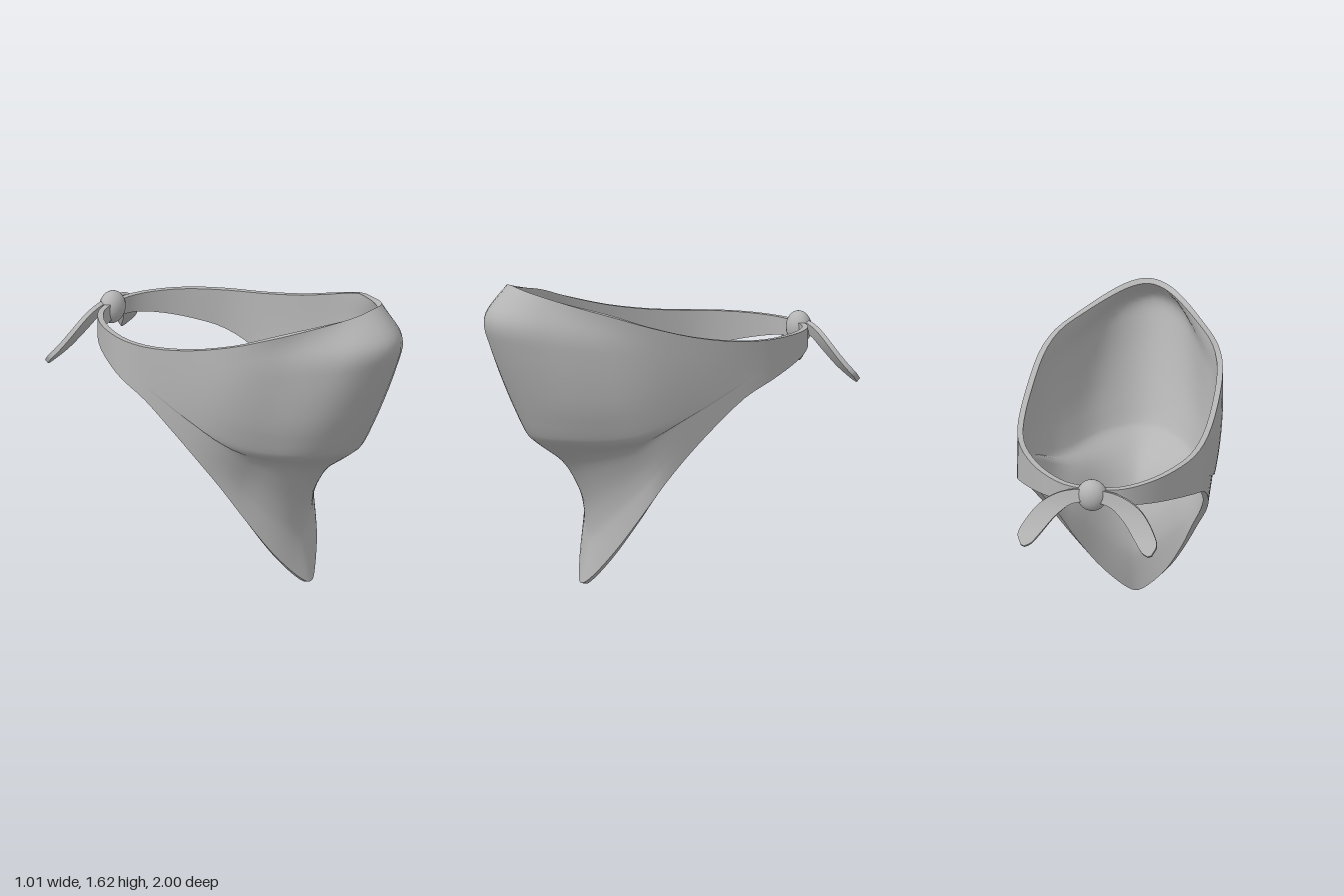
import * as THREE from 'three';
import { mergeGeometries } from 'three/addons/utils/BufferGeometryUtils.js';

const { lerp, smoothstep } = THREE.MathUtils;
const spline = (pts) => new THREE.CatmullRomCurve3(pts.map(([x, y, z = 0]) => new THREE.Vector3(x, y, z)), false, 'catmullrom', 0.5);

// Cloth sheet with thickness: point(u, v) gives the outer face, u to the right and v downwards
function sheet(point, nu, nv, thickness) {
  const pos = [], idx = [], id = (i, j) => i * (nv + 1) + j;
  for (let i = 0; i <= nu; i++) for (let j = 0; j <= nv; j++) pos.push(...point(i / nu, j / nv).toArray());
  for (let i = 0; i < nu; i++) for (let j = 0; j < nv; j++) {
    const a = id(i, j), b = id(i, j + 1), c = id(i + 1, j), d = id(i + 1, j + 1);
    idx.push(a, b, c, c, b, d);
  }
  const outer = new THREE.BufferGeometry();
  outer.setAttribute('position', new THREE.Float32BufferAttribute(pos, 3));
  outer.setIndex(idx);
  outer.computeVertexNormals();

  // inner face, offset along the normals and turned round
  const inner = outer.clone(), P = inner.attributes.position, N = inner.attributes.normal;
  for (let k = 0; k < P.count; k++) {
    P.setXYZ(k, P.getX(k) - N.getX(k) * thickness, P.getY(k) - N.getY(k) * thickness, P.getZ(k) - N.getZ(k) * thickness);
    N.setXYZ(k, -N.getX(k), -N.getY(k), -N.getZ(k));
  }
  inner.setIndex(idx.slice().reverse());

  // rim around the whole border
  const loop = [];
  for (let j = 0; j < nv; j++) loop.push(id(0, j));
  for (let i = 0; i < nu; i++) loop.push(id(i, nv));
  for (let j = nv; j > 0; j--) loop.push(id(nu, j));
  for (let i = nu; i > 0; i--) loop.push(id(i, 0));
  const rimPos = [], at = (g, k) => new THREE.Vector3().fromBufferAttribute(g.attributes.position, k).toArray();
  loop.forEach((p, k) => {
    const q = loop[(k + 1) % loop.length];
    rimPos.push(...at(outer, q), ...at(outer, p), ...at(inner, p), ...at(outer, q), ...at(inner, p), ...at(inner, q));
  });
  const rim = new THREE.BufferGeometry();
  rim.setAttribute('position', new THREE.Float32BufferAttribute(rimPos, 3));
  rim.computeVertexNormals();
  return mergeGeometries([outer.toNonIndexed(), inner.toNonIndexed(), rim]);
}

// Cloth edges from front centre to back: top x,y,z, bottom x,y,z
const EDGES = [
  [0, 1.61, 0.86, 0, 0, 0.455],
  [0.1, 1.595, 0.835, 0.08, 0.05, 0.425],
  [0.2, 1.565, 0.755, 0.2, 0.2, 0.35],
  [0.32, 1.52, 0.62, 0.3, 0.39, 0.25],
  [0.43, 1.475, 0.47, 0.38, 0.57, 0.15],
  [0.487, 1.42, 0.3, 0.445, 0.72, 0.05],
  [0.505, 1.35, 0.05, 0.48, 0.86, -0.08],
  [0.5, 1.305, -0.2, 0.49, 1.0, -0.25],
  [0.465, 1.29, -0.4, 0.465, 1.075, -0.42],
  [0.385, 1.285, -0.57, 0.385, 1.12, -0.57],
  [0.28, 1.28, -0.7, 0.28, 1.155, -0.7],
  [0.15, 1.275, -0.79, 0.15, 1.18, -0.79],
  [0, 1.275, -0.82, 0, 1.19, -0.82],
];
// Share of the bulge each column takes, near the top and near the fold
const FULLNESS = [[0.98, 1], [0.72, 0.97], [0.35, 0.88], [0.14, 0.62], [0.05, 0.4], [0.02, 0.2], [0, 0.07], [0, 0],
  [0, 0], [0, 0], [0, 0], [0, 0], [0, 0]];
// Front centre profile: fraction down, offset from the straight line
const PROFILE = spline([[0, 0], [0.05, 0.1], [0.095, 0.17], [0.14, 0.195], [0.2, 0.187], [0.3, 0.163], [0.44, 0.12],
  [0.5, 0.099], [0.53, 0.078], [0.565, 0.019], [0.61, -0.063], [0.67, -0.11], [0.75, -0.136], [0.83, -0.123],
  [0.89, -0.088], [1, 0]]);

function clothPoint() {
  const mirrored = (rows, flip) => spline([...rows.slice(1).reverse().map(([x, y, z]) => [flip * x, y, z]), ...rows]);
  const top = mirrored(EDGES.map((r) => r.slice(0, 3)), -1);
  const bottom = mirrored(EDGES.map((r) => r.slice(3)), -1);
  const fullness = mirrored(FULLNESS, 1);
  const FOLD = 0.54;
  return (u, v) => {
    const T = top.getPoint(u), B = bottom.getPoint(u), F = fullness.getPoint(u);
    const { x: s, y: offset } = PROFILE.getPoint(v);
    // fold height, rising gently where the lower edge comes up to it
    const raised = lerp(B.y, T.y, 0.25);
    const foldY = (0.76 + raised + Math.hypot(0.76 - raised, 0.1)) / 2;
    const y = s < FOLD ? lerp(T.y, foldY, s / FOLD) : lerp(foldY, B.y, (s - FOLD) / (1 - FOLD));
    const k = (T.y - y) / (T.y - B.y);
    const hollow = Math.max(0, (0.76 - B.y) / 0.76);
    const folded = offset > 0 ? offset * lerp(F.x, F.y, Math.min(1, s / 0.4)) : offset * hollow;
    const plain = 0.15 * Math.sin(Math.PI * k) * F.y;
    const tangent = top.getTangent(u);
    const out = new THREE.Vector3(-tangent.z, 0, tangent.x).normalize();
    if (offset < 0) out.x *= 0.4;
    return T.clone().lerp(B, k).addScaledVector(out, lerp(plain, folded, smoothstep(hollow, 0, 0.5)));
  };
}

// Knot tail: upper and lower borders as x and distance down, hung on a curved slope
const TAIL_UPPER = spline([[0.02, 0], [0.12, 0.015], [0.2, 0.05], [0.27, 0.11], [0.33, 0.2], [0.366, 0.29], [0.345, 0.355]]);
const TAIL_LOWER = spline([[0.02, 0.07], [0.1, 0.095], [0.15, 0.14], [0.2, 0.2], [0.25, 0.28], [0.29, 0.34], [0.325, 0.363]]);
const TAIL_SLOPE = spline([[0, 1.28, -0.815], [0, 1.175, -0.85], [0, 1.075, -0.908], [0, 0.99, -0.982]]);

function tailPoint(side) {
  return (u, v) => {
    const t = side > 0 ? u : 1 - u;
    const e = TAIL_UPPER.getPoint(t).lerp(TAIL_LOWER.getPoint(t), v);
    const p = TAIL_SLOPE.getPoint(Math.min(1, Math.max(0, e.y / 0.365)));
    p.x = side * e.x;
    return p;
  };
}

export function createModel() {
  const model = new THREE.Group();
  model.name = 'bandana';
  const grey = new THREE.MeshStandardMaterial({ color: 0xb4b4b4 });
  grey.name = 'grey cloth';
  const add = (name, geometry) => {
    const mesh = new THREE.Mesh(geometry, grey);
    mesh.name = name;
    model.add(mesh);
    return mesh;
  };

  // folded cloth with its band running to the back
  add('cloth', sheet(clothPoint(), 72, 45, 0.03));

  // knot and its two tails
  const knot = add('knot', new THREE.SphereGeometry(1, 24, 16));
  knot.scale.set(0.08, 0.087, 0.064);
  knot.position.set(0, 1.24, -0.813);
  add('leftTail', sheet(tailPoint(1), 24, 8, 0.025));
  add('rightTail', sheet(tailPoint(-1), 24, 8, 0.025));
  return model;
}
